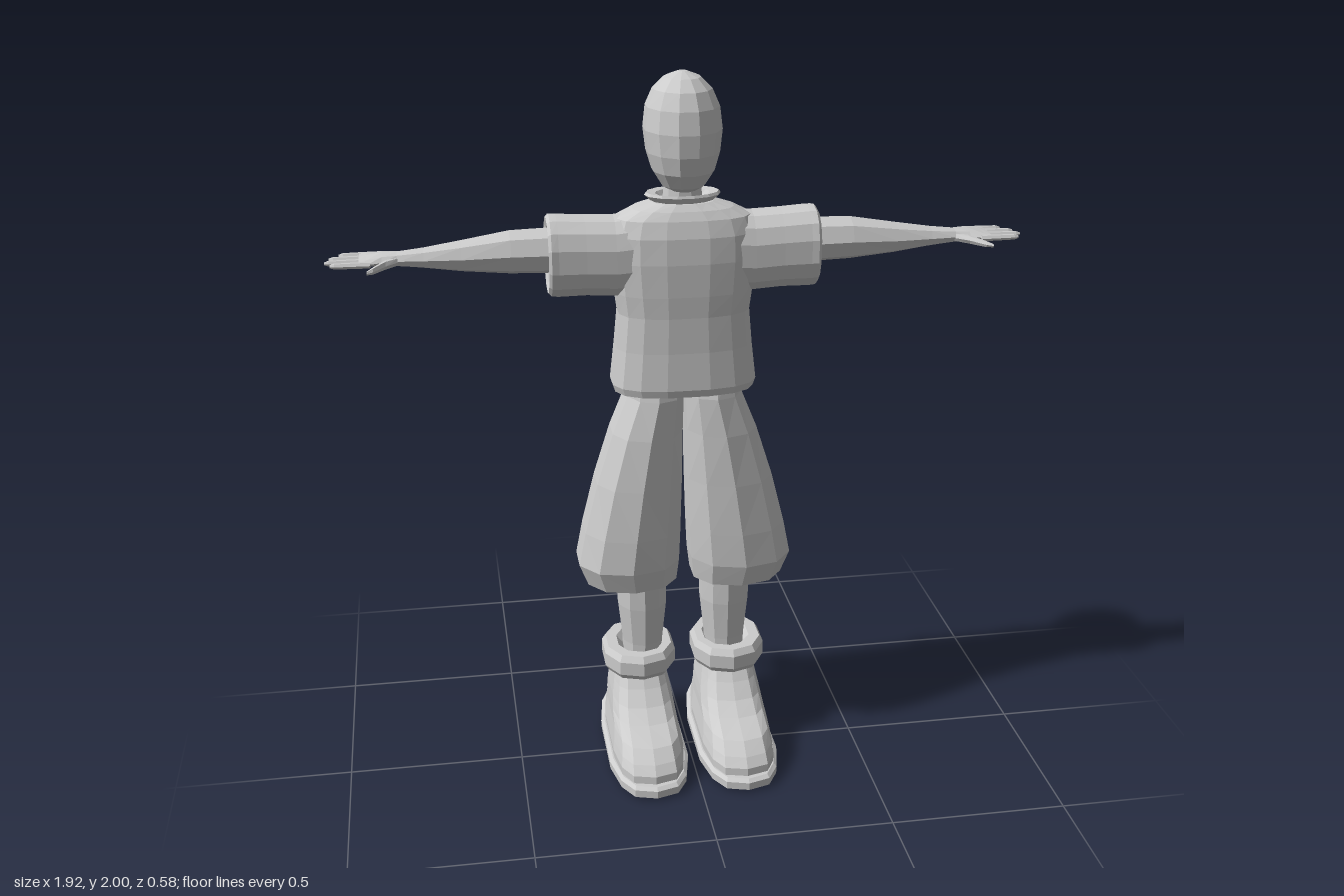
import * as THREE from 'three';

// Loft through rings [position along axis, centre1, radius1, centre2, radius2].
// Axis 'y': 1 = x, 2 = z.  Axis 'x': 1 = z, 2 = y.  power < 1 squares the ring.
function loft(axis, rings, { sides = 10, power = 1, phase = 0, caps = true } = {}) {
  const pos = [], index = [];
  const put = (t, u, v) => (axis === 'y' ? pos.push(u, t, v) : pos.push(t, v, u));
  const bend = (v) => Math.sign(v) * Math.abs(v) ** power;
  for (const [t, c1, r1, c2, r2] of rings) {
    for (let i = 0; i < sides; i++) {
      const a = ((i + phase) / sides) * Math.PI * 2;
      put(t, c1 + r1 * bend(Math.cos(a)), c2 + r2 * bend(Math.sin(a)));
    }
  }
  const flip = axis === 'x';
  const face = (a, b, c) => (flip ? index.push(a, c, b) : index.push(a, b, c));
  // both axes use the same rule once the ring direction is accounted for
  const sense = axis === 'x' ? (a, b, c) => face(a, b, c) : (a, b, c) => face(a, b, c);
  for (let k = 0; k < rings.length - 1; k++) {
    for (let i = 0; i < sides; i++) {
      const j = (i + 1) % sides, p = k * sides, q = p + sides;
      sense(p + i, q + i, p + j);
      sense(p + j, q + i, q + j);
    }
  }
  if (caps) {
    [0, rings.length - 1].forEach((k) => {
      const [t, c1, , c2] = rings[k], centre = pos.length / 3;
      put(t, c1, c2);
      for (let i = 0; i < sides; i++) {
        const a = k * sides + i, b = k * sides + ((i + 1) % sides);
        if (k === 0) sense(centre, a, b);
        else sense(centre, b, a);
      }
    });
  }
  const g = new THREE.BufferGeometry();
  g.setAttribute('position', new THREE.Float32BufferAttribute(pos, 3));
  g.setIndex(index);
  g.computeVertexNormals();
  return g;
}

// Copy reflected in x, with the corner order reversed
function mirrored(geometry) {
  const g = geometry.clone().scale(-1, 1, 1), id = g.index.array;
  for (let i = 0; i < id.length; i += 3) [id[i], id[i + 1]] = [id[i + 1], id[i]];
  g.computeVertexNormals();
  return g;
}

export function createModel() {
  const model = new THREE.Group();
  model.name = 'figure';
  const grey = new THREE.MeshStandardMaterial({ color: 0xcccccc, flatShading: true, side: THREE.DoubleSide });
  grey.name = 'plain grey';
  const add = (name, geometry) => {
    const mesh = new THREE.Mesh(geometry, grey);
    mesh.name = name;
    model.add(mesh);
  };
  const pair = (name, geometry) => {
    add('left' + name, geometry);
    add('right' + name, mirrored(geometry));
  };
  const Z = -0.088;

  // Head and neck
  add('head', loft('y', [
    [1.685, 0, 0.035, -0.08, 0.045], [1.7, 0, 0.06, -0.08, 0.075],
    [1.74, 0, 0.085, -0.08, 0.103], [1.79, 0, 0.1, -0.084, 0.12],
    [1.85, 0, 0.107, -0.086, 0.125], [1.91, 0, 0.1, -0.088, 0.117],
    [1.955, 0, 0.08, -0.087, 0.094], [1.985, 0, 0.05, -0.086, 0.058],
    [2.0, 0, 0.012, -0.085, 0.014],
  ], { sides: 12, phase: 0.5 }));
  add('neck', loft('y', [[1.6, 0, 0.06, Z, 0.056], [1.71, 0, 0.05, Z, 0.05]]));

  // Shirt: hem folds inward, then the body rises to the neckline
  add('shirt', loft('y', [
    [1.2, 0, 0.175, Z, 0.098], [1.128, 0, 0.182, Z, 0.104],
    [1.124, 0, 0.198, Z, 0.114], [1.145, 0, 0.205, Z, 0.119],
    [1.25, 0, 0.193, Z, 0.112], [1.35, 0, 0.184, -0.084, 0.106],
    [1.41, 0, 0.192, -0.083, 0.107], [1.5, 0, 0.2, -0.083, 0.107],
    [1.57, 0, 0.2, -0.084, 0.102], [1.615, 0, 0.185, -0.086, 0.09],
    [1.638, 0, 0.14, -0.086, 0.076], [1.655, 0, 0.085, -0.086, 0.06],
  ], { sides: 16, power: 0.75, phase: 0.5 }));
  add('collar', loft('y', [
    [1.65, 0, 0.06, Z, 0.05], [1.656, 0, 0.088, Z, 0.06],
    [1.671, 0, 0.105, Z, 0.068], [1.678, 0, 0.1, Z, 0.065],
    [1.674, 0, 0.075, Z, 0.055], [1.655, 0, 0.058, Z, 0.048],
  ], { sides: 14, caps: false }));

  // Open sleeves with an inner wall
  pair('Sleeve', loft('x', [
    [0.1, Z, 0.088, 1.515, 0.115], [0.19, Z, 0.088, 1.508, 0.112],
    [0.27, Z, 0.087, 1.512, 0.111], [0.345, Z, 0.088, 1.514, 0.114],
    [0.364, Z, 0.09, 1.515, 0.113], [0.372, Z, 0.083, 1.515, 0.104],
    [0.366, Z, 0.073, 1.515, 0.092], [0.26, Z, 0.068, 1.515, 0.085],
  ], { sides: 14, power: 0.85, phase: 0.5, caps: false }));

  // Arms ending in flat palms
  pair('Arm', loft('x', [
    [0.2, -0.09, 0.06, 1.525, 0.062], [0.37, -0.091, 0.062, 1.528, 0.063],
    [0.47, -0.091, 0.058, 1.528, 0.06], [0.6, -0.092, 0.047, 1.523, 0.043],
    [0.7, -0.093, 0.037, 1.522, 0.028], [0.77, -0.094, 0.032, 1.522, 0.02],
    [0.81, -0.1, 0.044, 1.522, 0.018], [0.85, -0.105, 0.059, 1.521, 0.012],
    [0.87, -0.103, 0.058, 1.52, 0.009],
  ], { sides: 8 }));
  [[-0.15, 0.925], [-0.115, 0.95], [-0.081, 0.96], [-0.05, 0.945]].forEach(([z, tip], i) =>
    pair('Finger' + (i + 1), loft('x', [
      [0.84, z, 0.011, 1.52, 0.009], [tip - 0.012, z, 0.009, 1.52, 0.008],
      [tip, z, 0.005, 1.52, 0.004],
    ], { sides: 6 })));
  pair('Thumb', loft('x', [
    [0.765, -0.078, 0.014, 1.52, 0.011], [0.8, -0.045, 0.018, 1.52, 0.012],
    [0.832, 0.005, 0.013, 1.519, 0.009], [0.848, 0.022, 0.006, 1.518, 0.005],
  ], { sides: 6 }));

  // Ballooning trouser legs, hollow at the hem
  pair('TrouserLeg', loft('y', [
    [0.66, 0.16, 0.12, Z, 0.11], [0.54, 0.155, 0.118, Z, 0.105],
    [0.534, 0.155, 0.135, Z, 0.12], [0.6, 0.164, 0.152, Z, 0.139],
    [0.7, 0.152, 0.144, Z, 0.137], [0.85, 0.131, 0.127, Z, 0.13],
    [1.0, 0.106, 0.104, Z, 0.122], [1.11, 0.082, 0.083, Z, 0.112],
    [1.18, 0.08, 0.082, Z, 0.095],
  ], { sides: 10, power: 0.9, phase: 0.5, caps: false }));

  // Shins
  pair('Shin', loft('y', [
    [0.24, 0.125, 0.055, -0.09, 0.065], [0.33, 0.123, 0.06, -0.09, 0.068],
    [0.45, 0.123, 0.073, -0.092, 0.08], [0.55, 0.124, 0.073, -0.092, 0.082],
    [0.68, 0.13, 0.08, Z, 0.088],
  ], { sides: 10, phase: 0.5 }));

  // Rolled ankle cuffs
  pair('AnkleCuff', loft('y', [
    [0.24, 0.134, 0.075, -0.1, 0.09], [0.24, 0.134, 0.098, -0.1, 0.118],
    [0.258, 0.134, 0.109, -0.1, 0.132], [0.298, 0.134, 0.109, -0.1, 0.132],
    [0.316, 0.134, 0.098, -0.1, 0.118], [0.316, 0.13, 0.07, -0.098, 0.085],
    [0.295, 0.126, 0.055, -0.095, 0.065],
  ], { sides: 10, power: 0.9, phase: 0.5, caps: false }));

  // Shoe from stacked outlines [height, back z, front z, half width]
  const outline = ([y, back, front, half]) =>
    [y, 0.133, half, (back + front) / 2, (front - back) / 2];
  const shoe = { sides: 14, power: 0.62, phase: 0.5 };
  pair('ShoeUpper', loft('y', [
    [0.02, -0.27, 0.265, 0.103], [0.06, -0.276, 0.262, 0.105],
    [0.085, -0.27, 0.24, 0.101], [0.115, -0.262, 0.2, 0.096],
    [0.14, -0.255, 0.115, 0.094], [0.17, -0.247, 0.065, 0.09],
    [0.21, -0.235, 0.025, 0.082], [0.25, -0.22, -0.005, 0.074],
  ].map(outline), shoe));

  // Sole, with the heel kicked up slightly
  const sole = loft('y', [
    [0.004, -0.265, 0.275, 0.107], [0.012, -0.29, 0.29, 0.117],
    [0.034, -0.292, 0.29, 0.118], [0.042, -0.28, 0.278, 0.108],
  ].map(outline), shoe);
  const p = sole.attributes.position;
  for (let i = 0; i < p.count; i++) {
    const z = p.getZ(i), y = p.getY(i);
    if (z < -0.2) p.setY(i, y + (-0.2 - z) * 0.3);
    else p.setY(i, Math.max(0, y - 0.004));
    // taper the toe
    if (z > 0.15) p.setX(i, 0.133 + (p.getX(i) - 0.133) * (1 - (z - 0.15) * 0.9));
  }
  sole.computeVertexNormals();
  pair('Sole', sole);

  return model;
}
